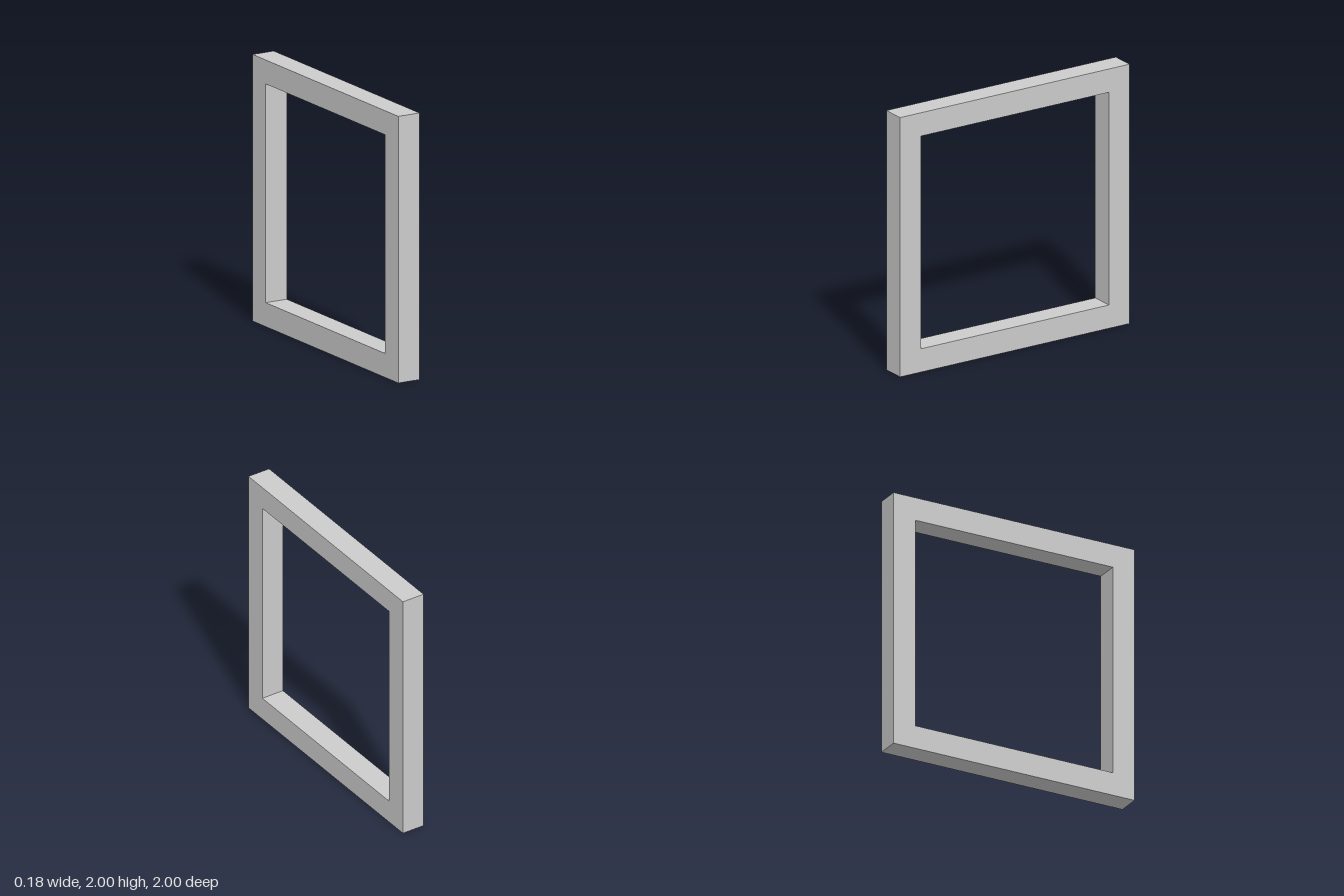
import * as THREE from 'three';

const SIZE = 2;      // outer height and depth
const BAR = 0.18;    // width and thickness of the frame bars

// Corners of a square centred on the origin
function square(half) {
  return [[-half, -half], [half, -half], [half, half], [-half, half]]
    .map(([x, y]) => new THREE.Vector2(x, y));
}

export function createModel() {
  const group = new THREE.Group();
  group.name = 'squareFrame';

  // Square outline with a square opening
  const outline = new THREE.Shape(square(SIZE / 2));
  outline.holes.push(new THREE.Path(square(SIZE / 2 - BAR).reverse()));

  // Extrude to the bar thickness, then turn the opening to face sideways
  const geometry = new THREE.ExtrudeGeometry(outline, { depth: BAR, bevelEnabled: false });
  geometry.translate(0, 0, -BAR / 2);
  geometry.rotateY(Math.PI / 2);
  geometry.translate(0, SIZE / 2, 0);

  const frame = new THREE.Mesh(geometry, new THREE.MeshStandardMaterial({ color: 0xcccccc }));
  frame.name = 'frame';
  group.add(frame);
  return group;
}
